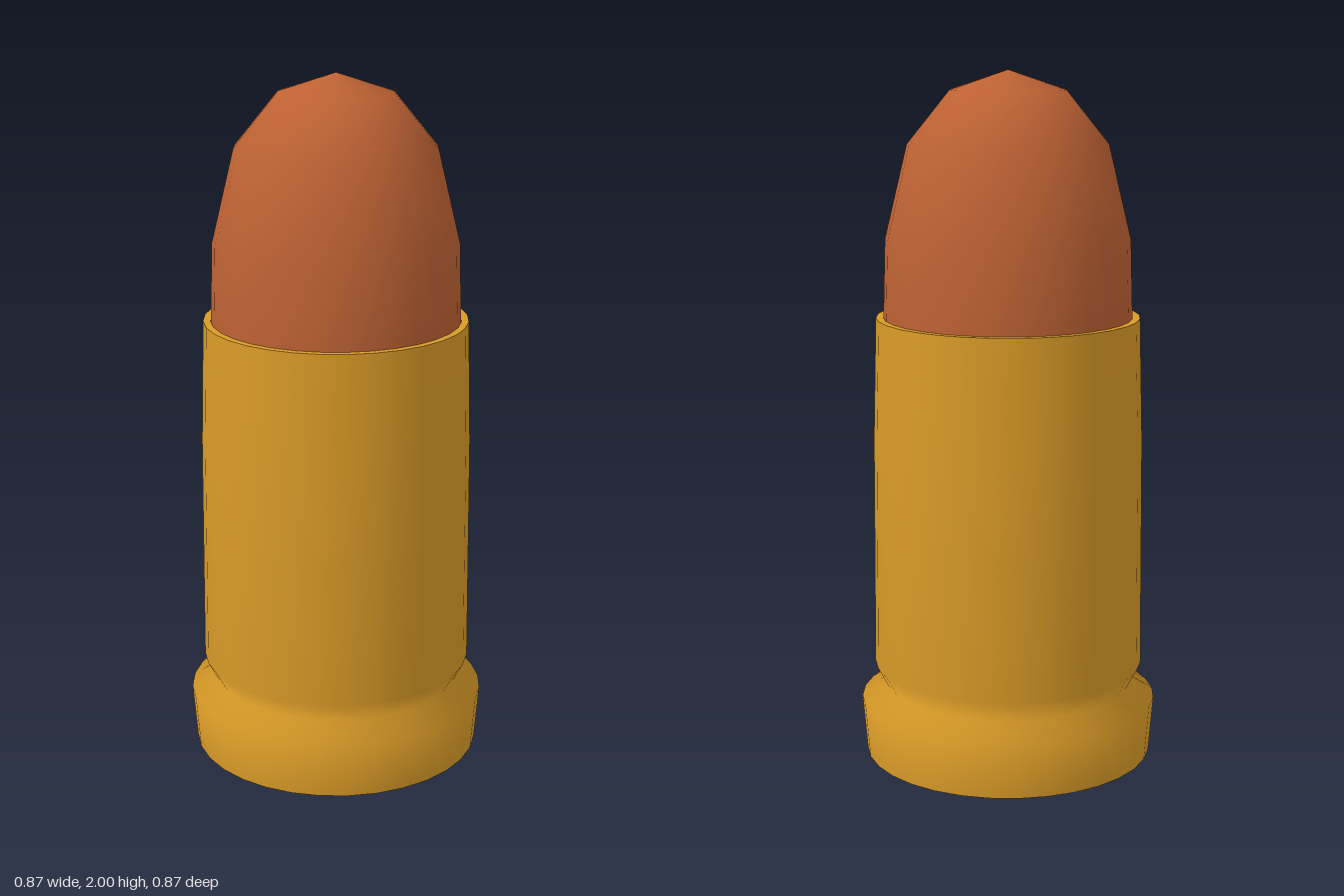
import * as THREE from 'three';

const SEGMENTS = 32;

export function createModel() {
  const group = new THREE.Group();
  const brass = new THREE.MeshStandardMaterial({ color: 0xd99b27 });
  brass.name = 'brass';
  const copper = new THREE.MeshStandardMaterial({ color: 0xbc6133 });
  copper.name = 'copper';
  const darkSteel = new THREE.MeshStandardMaterial({ color: 0x404044 });
  darkSteel.name = 'darkSteel';

  // Revolves a profile of [radius, height] points around the y axis
  function lathe(name, material, profile) {
    const points = profile.map(([r, y]) => new THREE.Vector2(r, y));
    const mesh = new THREE.Mesh(new THREE.LatheGeometry(points, SEGMENTS), material);
    mesh.name = name;
    group.add(mesh);
  }

  // Flat underside, outer wall with extractor groove, and the open mouth
  lathe('caseBase', brass, [[0, 0.01], [0.42, 0.01]]);
  lathe('caseWall', brass, [
    [0.42, 0.01], [0.433, 0.172], [0.36, 0.217], [0.393, 0.28], [0.388, 0.95], [0.378, 1.305],
  ]);
  lathe('caseMouth', brass, [[0.378, 1.305], [0.357, 1.305]]);
  lathe('caseInnerWall', brass, [[0.357, 1.305], [0.357, 1.2]]);

  // Rounded projectile seated in the mouth
  lathe('projectile', copper, [
    [0.357, 1.2], [0.356, 1.305], [0.349, 1.53], [0.285, 1.795], [0.164, 1.945], [0, 2],
  ]);

  // Thin primer disc under the base
  const primer = new THREE.Mesh(new THREE.CylinderGeometry(0.138, 0.138, 0.0099, SEGMENTS), darkSteel);
  primer.position.y = 0.00495;
  primer.name = 'primer';
  group.add(primer);

  return group;
}
